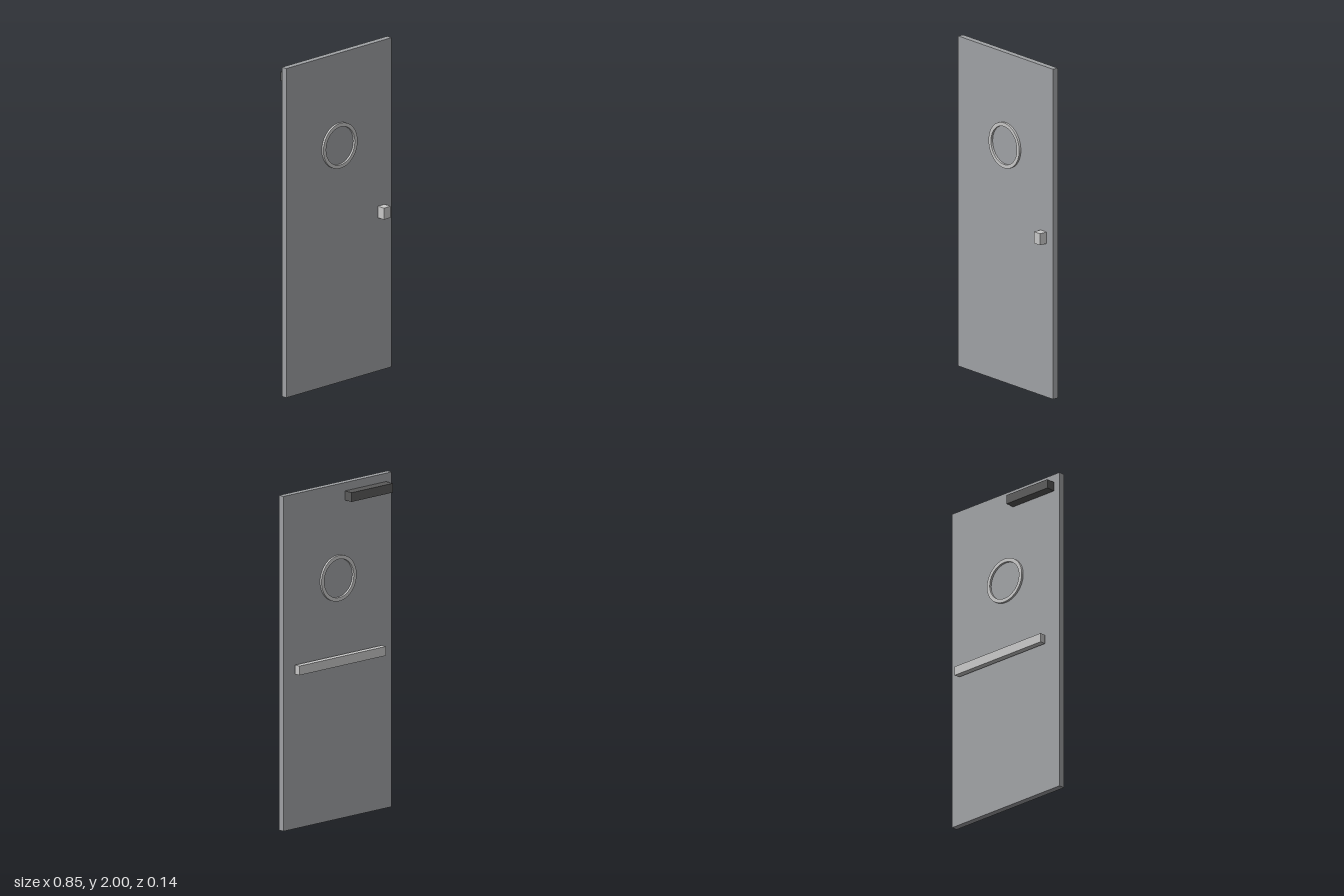
import * as THREE from 'three';

export function createModel() {
  const door = new THREE.Group();
  door.name = 'door';

  const material = (name, color) => {
    const m = new THREE.MeshStandardMaterial({ color, flatShading: true });
    m.name = name;
    return m;
  };
  const paint = material('grey paint', 0xa0a2a5);
  const metal = material('light metal', 0xc8c8c8);
  const dark = material('dark metal', 0x5a5a5a);

  // Box given by its lower and upper corner
  const box = (name, mat, [x0, y0, z0], [x1, y1, z1]) => {
    const mesh = new THREE.Mesh(new THREE.BoxGeometry(x1 - x0, y1 - y0, z1 - z0), mat);
    mesh.position.set((x0 + x1) / 2, (y0 + y1) / 2, (z0 + z1) / 2);
    mesh.name = name;
    door.add(mesh);
  };

  box('doorPanel', paint, [-0.423, 0, -0.015], [0.423, 2, 0.022]);
  box('frontHandle', metal, [0.313, 0.93, 0.022], [0.367, 1.0, 0.072]);
  box('pushBar', metal, [-0.327, 0.93, -0.072], [0.35, 0.985, -0.036]);
  box('doorCloser', dark, [-0.38, 1.895, -0.072], [-0.057, 1.95, -0.015]);

  // Porthole rim, standing proud of both faces
  const rim = new THREE.Shape().absarc(0, 0, 0.137, 0, Math.PI * 2);
  rim.holes.push(new THREE.Path().absarc(0, 0, 0.115, 0, Math.PI * 2, true));
  const rimMesh = new THREE.Mesh(
    new THREE.ExtrudeGeometry(rim, { depth: 0.063, bevelEnabled: false, curveSegments: 32 }), metal);
  rimMesh.position.set(0, 1.44, -0.028);
  rimMesh.name = 'portholeRim';
  door.add(rimMesh);

  return door;
}
